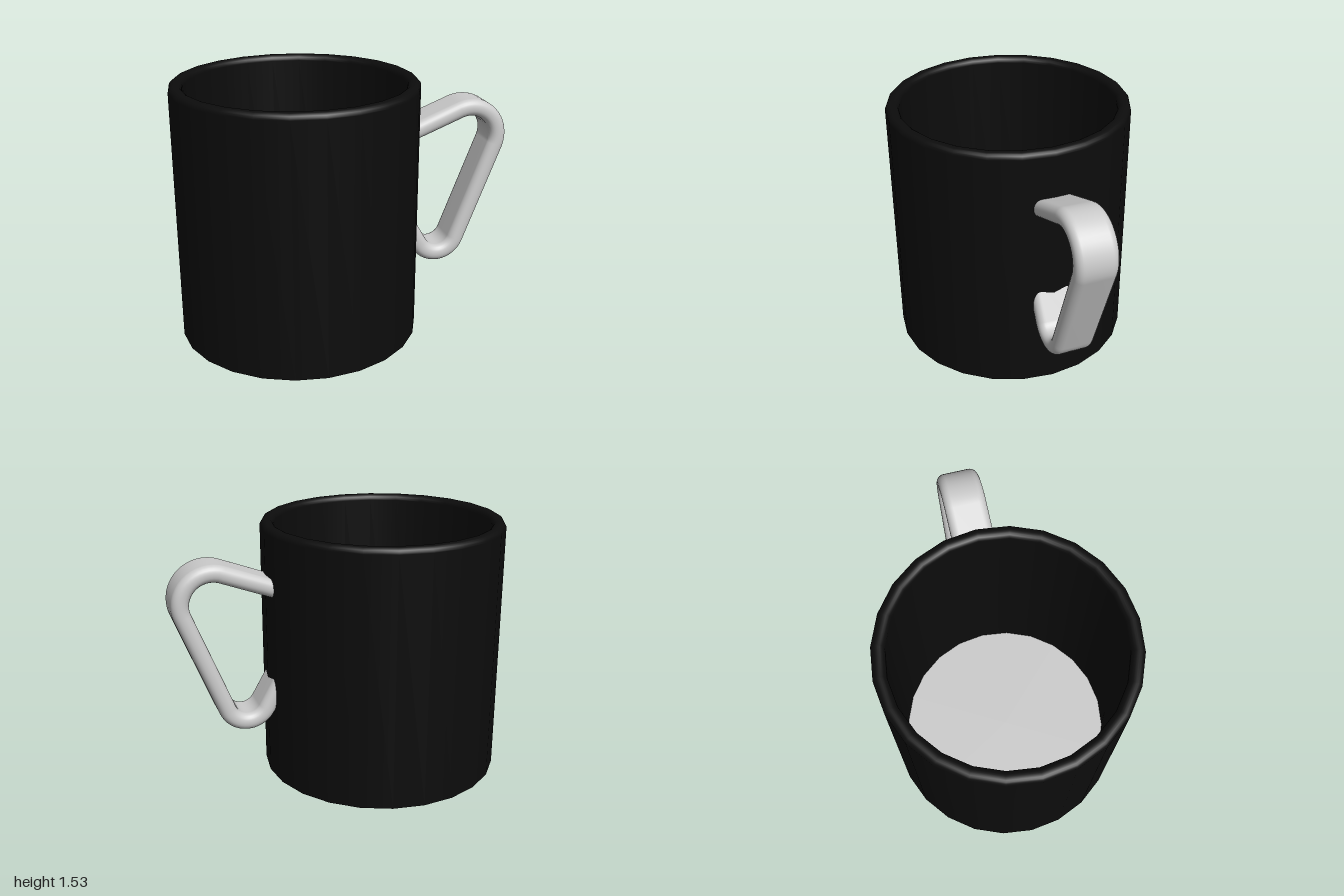
import * as THREE from 'three';

const CUP_X = -0.283, R_OUT = 0.717, R_IN = 0.64, HEIGHT = 1.53, FLOOR = 0.08, SIDES = 24;
const rad = THREE.MathUtils.degToRad;

// Points of a rounded corner, from angle a0 to a1 in degrees
function corner(cx, cy, r, a0, a1, steps) {
  return Array.from({ length: steps + 1 }, (_, i) => {
    const a = rad(a0 + (a1 - a0) * i / steps);
    return new THREE.Vector2(cx + r * Math.cos(a), cy + r * Math.sin(a));
  });
}

// Strap handle: a rounded rectangle swept round two bends, ends cut off inside the cup wall
function handleGeometry() {
  const hu = 0.051, hw = 0.122, r = 0.046, cutX = 0.385;
  const section = [[1, 1, 0], [-1, 1, 90], [-1, -1, 180], [1, -1, 270]].flatMap(([u, w, a]) =>
    corner(u * (hu - r), w * (hw - r), r, a, a + 90, 6));
  const bends = [
    { x: 0.765, y: 1.13, r: 0.18, from: 111, to: -20, steps: 16 },
    { x: 0.58, y: 0.52, r: 0.13, from: -20, to: -150, steps: 16 },
  ];
  const stations = bends.flatMap(b => Array.from({ length: b.steps + 1 }, (_, i) =>
    ({ ...b, a: rad(b.from + (b.to - b.from) * i / b.steps) })));
  stations.unshift({ ...stations[0], cut: true });
  stations.push({ ...stations[stations.length - 1], cut: true });

  const pos = [], index = [], n = section.length;
  stations.forEach((s, i) => {
    for (const p of section) {
      const c = Math.cos(s.a), d = Math.sin(s.a);
      let x = s.x + (s.r + p.x) * c, y = s.y + (s.r + p.x) * d;
      if (s.cut) {            // slide along the strap to the cutting plane
        y += (cutX - x) * (-c / d);
        x = cutX;
      }
      pos.push(x, y, p.y);
    }
    if (i === 0) return;
    for (let j = 0; j < n; j++) {
      const k = (j + 1) % n, a = (i - 1) * n, b = i * n;
      index.push(a + j, a + k, b + j, a + k, b + k, b + j);
    }
  });
  const g = new THREE.BufferGeometry();
  g.setAttribute('position', new THREE.Float32BufferAttribute(pos, 3));
  g.setIndex(index);
  g.computeVertexNormals();
  return g;
}

export function createModel() {
  const model = new THREE.Group();
  const grey = new THREE.MeshStandardMaterial({ color: 0xcccccc });
  const black = new THREE.MeshStandardMaterial({ color: 0x0c0c0c });
  const add = (name, geometry, material) => {
    const mesh = new THREE.Mesh(geometry, material);
    mesh.name = name;
    model.add(mesh);
    return mesh;
  };

  // Cup wall: outside, rounded rim, inside
  const bevel = 0.034;
  const profile = [
    new THREE.Vector2(R_OUT, 0),
    ...corner(R_OUT - bevel, HEIGHT - bevel, bevel, 0, 90, 5),
    ...corner(R_IN + bevel, HEIGHT - bevel, bevel, 90, 180, 5),
    new THREE.Vector2(R_IN, FLOOR),
  ];
  add('cupWall', new THREE.LatheGeometry(profile, SIDES), black).position.x = CUP_X;

  // Inner floor and underside
  const floor = add('innerFloor', new THREE.CircleGeometry(R_IN, SIDES), grey);
  floor.rotation.x = -Math.PI / 2;
  floor.position.set(CUP_X, FLOOR, 0);
  const base = add('underside', new THREE.CircleGeometry(R_OUT, SIDES), grey);
  base.rotation.x = Math.PI / 2;
  base.position.x = CUP_X;

  add('handle', handleGeometry(), grey);
  return model;
}
